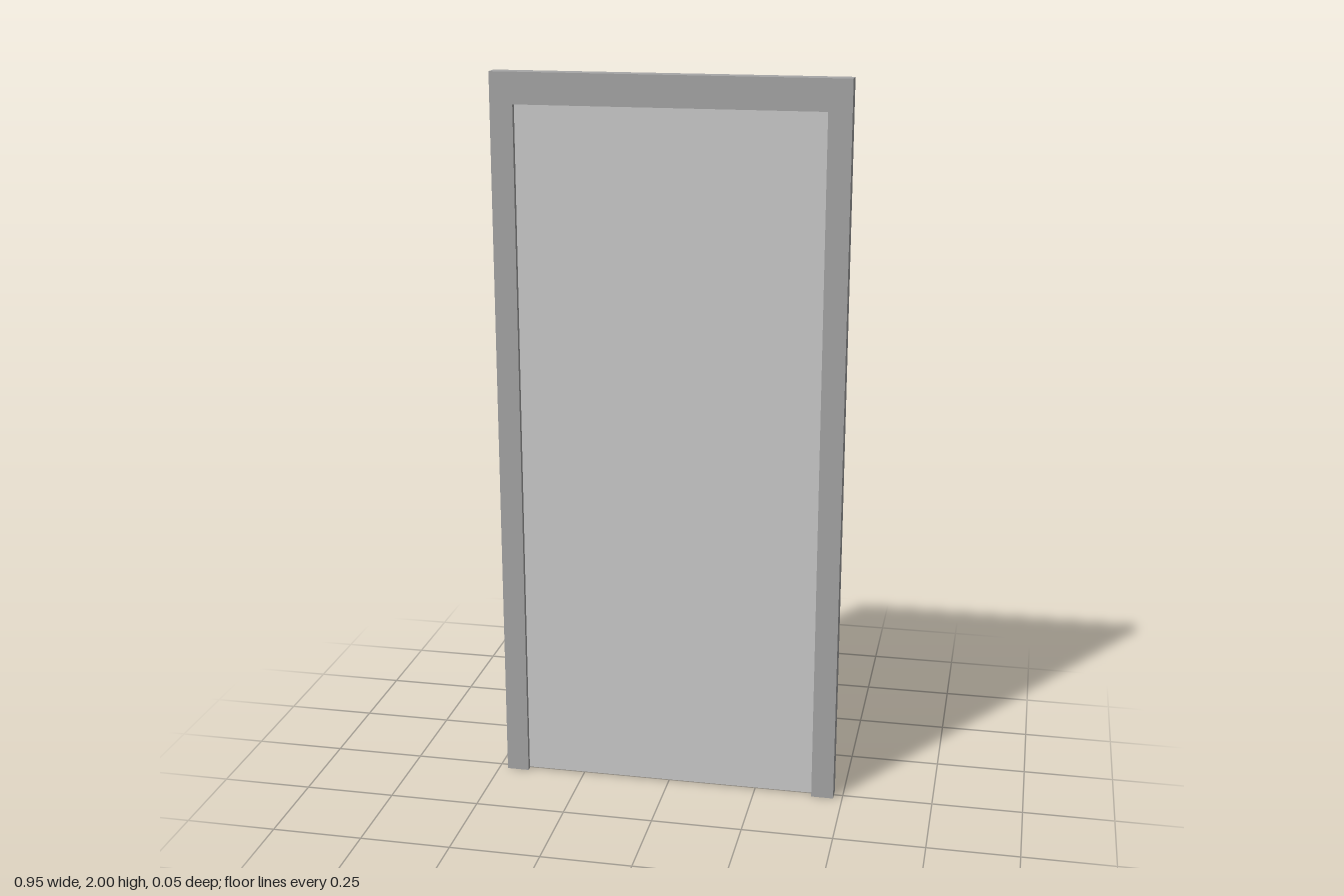
import * as THREE from 'three';

const W = 0.475, H = 2, DEPTH = 0.046; // half width, height and depth of the frame
const IN_W = 0.413, IN_H = 1.916;      // half width and height of the opening
const PANEL_DEPTH = 0.016, GAP = 0.004;

export function createModel() {
  const group = new THREE.Group();
  group.name = 'door';

  // Frame: two jambs and a head in one outline, open at the bottom
  const outline = new THREE.Shape([
    [-W, 0], [-IN_W, 0], [-IN_W, IN_H], [IN_W, IN_H],
    [IN_W, 0], [W, 0], [W, H], [-W, H],
  ].map(([x, y]) => new THREE.Vector2(x, y)));
  const frameGeometry = new THREE.ExtrudeGeometry(outline, { depth: DEPTH, bevelEnabled: false });
  frameGeometry.translate(0, 0, -DEPTH / 2);
  const frame = new THREE.Mesh(frameGeometry, new THREE.MeshStandardMaterial({ color: 0xa7a7a7 }));
  frame.name = 'doorFrame';
  group.add(frame);

  // Door leaf: thin flat panel recessed on both faces
  const panel = new THREE.Mesh(
    new THREE.BoxGeometry(IN_W * 2, IN_H - GAP, PANEL_DEPTH),
    new THREE.MeshStandardMaterial({ color: 0xcccccc }),
  );
  panel.position.y = (IN_H + GAP) / 2;
  panel.name = 'doorPanel';
  group.add(panel);

  return group;
}
